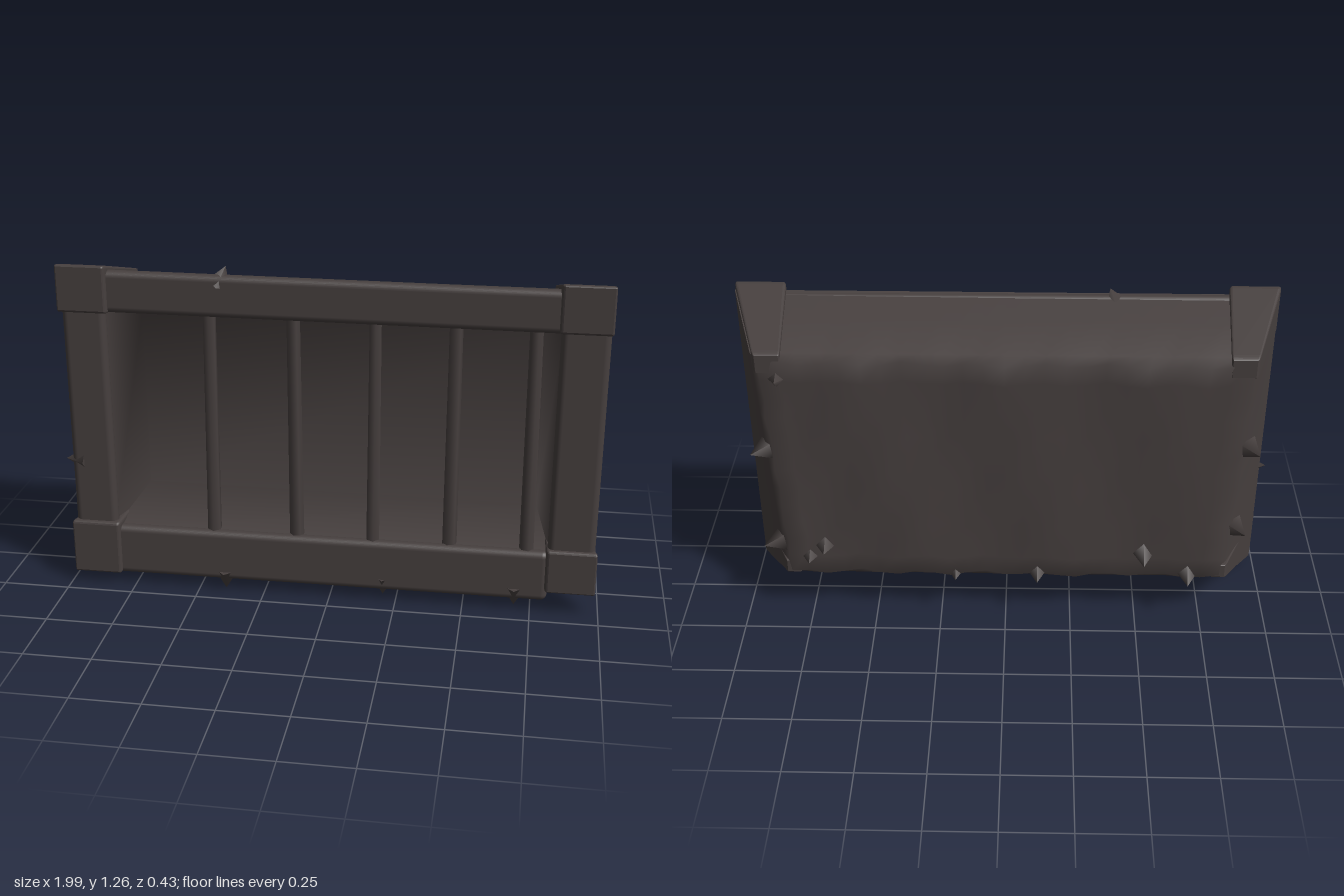
import * as THREE from 'three';
import { RoundedBoxGeometry } from 'three/addons/geometries/RoundedBoxGeometry.js';

const iron = new THREE.MeshStandardMaterial({ color: 0x463f3e });
iron.name = 'darkIron';
const { lerp, clamp } = THREE.MathUtils;

// Smooth tray: nested rectangles [x0, x1, y0, y1, z, pinch] from rim to floor.
// Pinch narrows the lower edge; the floor is slightly lumpy.
function trayGeometry(rings, nx, ny, flip, lump) {
  const geo = new THREE.PlaneGeometry(1, 1, nx, ny);
  const pos = geo.attributes.position;
  const last = rings.length - 1;
  for (let i = 0; i < pos.count; i++) {
    const ix = i % (nx + 1), iy = Math.floor(i / (nx + 1));
    const ring = Math.min(ix, nx - ix, iy, ny - iy, last);
    const [x0, x1, y0, y1, z, pinch] = rings[ring];
    let u = clamp((ix - last) / (nx - 2 * last), 0, 1);
    const v = clamp((iy - last) / (ny - 2 * last), 0, 1);
    if (flip) u = 1 - u;
    const k = ring === last ? lump : 0;
    pos.setXYZ(i,
      lerp(x0, x1, u) * (1 - pinch * v) + k * 0.5 * Math.sin(iy * 2.3),
      lerp(y1, y0, v) + k * 0.6 * Math.sin(ix * 1.9 + 1),
      z + k * Math.sin(ix * 1.3 + iy * 0.35) * Math.cos(iy * 0.6 + ix * 0.5));
  }
  geo.computeVertexNormals();
  return geo;
}

export function createModel() {
  const group = new THREE.Group();
  const add = (name, geo, x = 0, y = 0, z = 0) => {
    const mesh = new THREE.Mesh(geo, iron);
    mesh.name = name;
    mesh.position.set(x, y, z);
    group.add(mesh);
    return mesh;
  };

  // Tapered outer shell, open to the front
  add('outerShell', trayGeometry([
    [-0.98, 0.985, 0.05, 1.235, 0.17, 0],
    [-0.932, 0.938, 0.12, 1.195, 0.02, 0.02],
    [-0.882, 0.888, 0.185, 1.15, -0.135, 0.055],
    [-0.858, 0.862, 0.21, 1.125, -0.166, 0.06],
  ], 30, 18, true, 0.011));

  // Recess behind the bars
  add('innerRecess', trayGeometry([
    [-0.825, 0.815, 0.23, 1.09, 0.168, 0],
    [-0.755, 0.755, 0.31, 1.01, -0.1, 0],
  ], 3, 3, false, 0));

  // Front frame
  const beam = (name, w, h, x, y, tilt) => {
    const geo = new RoundedBoxGeometry(w, h, 0.05, 3, 0.024);
    add(name, geo, x, y, 0.157).rotation.z = tilt;
  };
  beam('topRail', 1.72, 0.155, 0, 1.156, -0.003);
  beam('bottomRail', 1.66, 0.198, -0.02, 0.142, 0.002);
  beam('rightPost', 0.16, 1.08, -0.893, 0.65, 0.003);
  beam('leftPost', 0.172, 1.08, 0.891, 0.65, -0.004);

  // Corner caps, tapered towards the back like the shell
  for (const sx of [-1, 1]) for (const top of [true, false]) {
    const geo = new RoundedBoxGeometry(1, 1, 1, 2, 0.06);
    const p = geo.attributes.position;
    const low = sx > 0 ? 0.085 : 0.04;
    const taper = top ? 0.115 : 0.155;
    for (let i = 0; i < p.count; i++) {
      const t = 0.5 - p.getZ(i);
      const a = p.getX(i) * sx + 0.5, b = p.getY(i) + 0.5;
      const x = lerp(0.8 - 0.02 * t, 0.99 - taper * t, a);
      const y = top
        ? lerp(1.08, 1.262 - 0.105 * t, b)
        : lerp(low + (0.2 - low) * t, 0.26, b);
      p.setXYZ(i, sx * x, y, 0.197 - 0.36 * t);
    }
    geo.computeVertexNormals();
    add((top ? 'top' : 'bottom') + (sx > 0 ? 'Left' : 'Right') + 'Corner', geo);
  }

  // Window bars
  [-0.44, -0.13, 0.16, 0.445, 0.725].forEach((x, i) => {
    const bar = add('bar' + (i + 1), new THREE.CylinderGeometry(0.024, 0.027, 0.9, 6), x, 0.66, 0.14);
    bar.rotation.set(0, i * 0.6, i % 2 ? 0.008 : -0.006);
  });

  // Jagged splinters: tip position, then outward direction
  const splinters = [
    [-0.4, 0, 0.16, 0, -1, 0], [0.2, 0.015, 0.15, 0, -1, 0], [0.69, 0.015, 0.16, 0, -1, 0],
    [-1, 0.5, 0.16, -1, 0, 0], [-0.37, 1.265, 0.15, 0.4, 1, 0],
    [-0.91, 0.78, -0.2, -0.5, 0, -1], [-0.89, 0.42, -0.19, -0.5, 0, -1],
    [-0.69, 0.2, -0.22, 0, -0.3, -1], [-0.52, 0.29, -0.22, 0, -0.3, -1],
    [-0.12, 0.2, -0.21, 0, -0.3, -1], [0.19, 0.2, -0.2, 0, -0.3, -1],
    [0.68, 0.33, -0.22, 0, 0, -1], [0.74, 0.28, -0.21, 0, 0, -1],
    [0.91, 0.33, -0.17, 1, 0, -0.7], [0.92, 0.75, -0.18, 1, 0, -0.9],
    [0.8, 1.07, -0.21, 0, 0.2, -1],
  ];
  const up = new THREE.Vector3(0, 1, 0);
  splinters.forEach(([x, y, z, dx, dy, dz], i) => {
    const dir = new THREE.Vector3(dx, dy, dz).normalize();
    const geo = new THREE.ConeGeometry(0.045, 0.075, 4).translate(0, -0.0375, 0);
    add('splinter' + (i + 1), geo, x, y, z).quaternion.setFromUnitVectors(up, dir);
  });

  return group;
}
